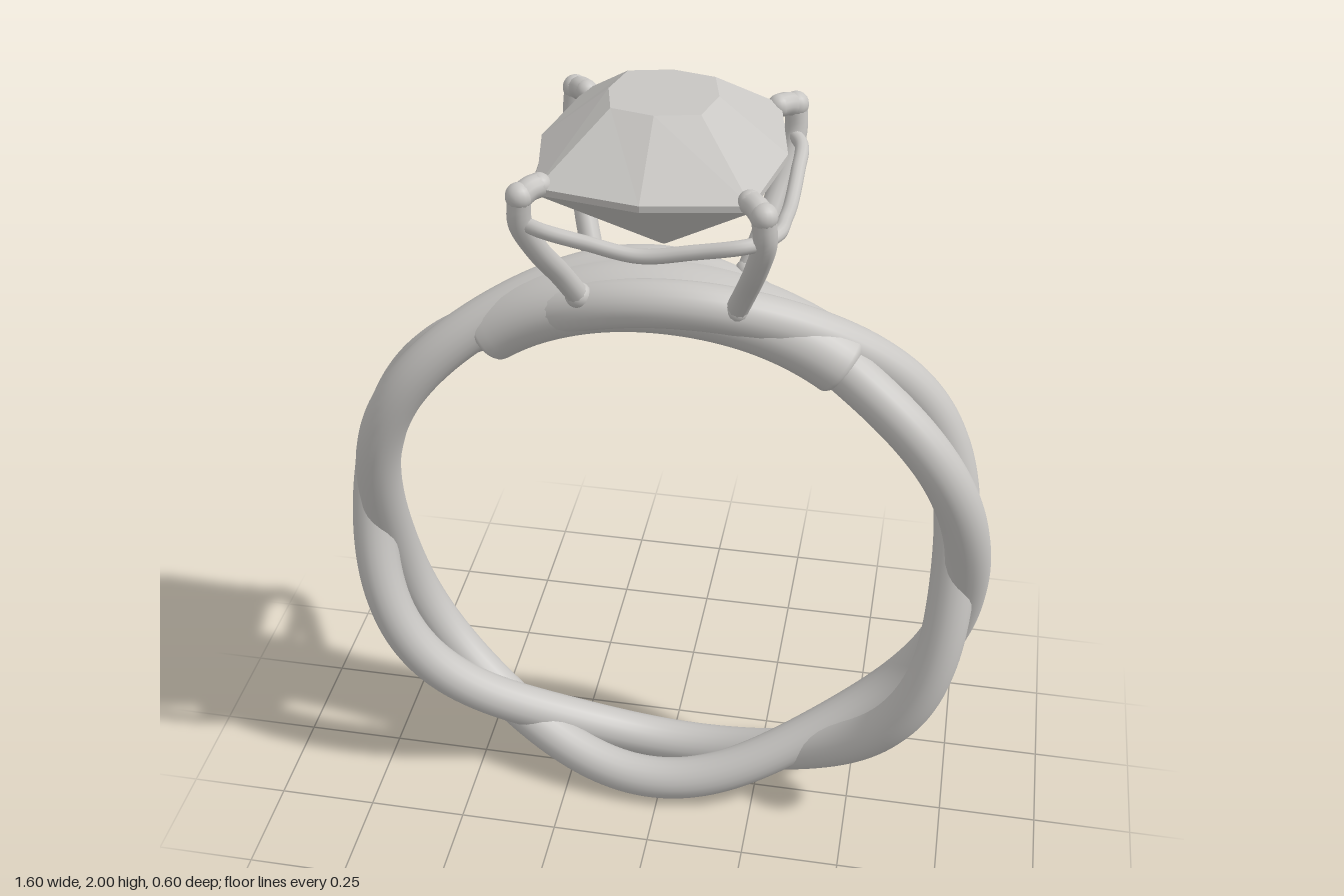
import * as THREE from 'three';
import { mergeVertices } from 'three/addons/utils/BufferGeometryUtils.js';

const V = (x, y, z) => new THREE.Vector3(x, y, z);
const CENTER_Y = 0.8;

// One strand of the twisted hoop: three full turns around the finger circle
class StrandCurve extends THREE.Curve {
  constructor(sign) {
    super();
    this.sign = sign;
  }
  getPoint(t, target = new THREE.Vector3()) {
    const a = t * Math.PI * 2;
    const top = Math.max(0, Math.sin(a)) ** 4;
    const r = 0.737 - 0.008 * Math.cos(6 * a) - 0.014 * top + this.sign * 0.016 * Math.cos(3 * a);
    return target.set(r * Math.cos(a), CENTER_Y + r * Math.sin(a), this.sign * 0.075 * Math.sin(3 * a));
  }
}

// Thick sleeve over the top of the hoop: a capsule bent along the arc
function bandGeometry() {
  const R = 0.706, half = 0.43, rad = 0.076;
  const source = new THREE.CapsuleGeometry(rad, half * 2, 8, 32, 40);
  source.deleteAttribute('uv');
  source.deleteAttribute('normal');
  const g = mergeVertices(source, 1e-5);
  const p = g.attributes.position;
  for (let i = 0; i < p.count; i++) {
    const y = p.getY(i);
    const over = Math.max(0, Math.abs(y) - half);
    const along = Math.sign(y) * (Math.min(Math.abs(y), half) + over * 0.4);
    const mid = Math.cos((along / half) * Math.PI / 2) ** 2;
    const a = Math.PI / 2 + along / R;
    const r = R + p.getX(i);
    p.setXYZ(i, r * Math.cos(a), CENTER_Y + r * Math.sin(a), p.getZ(i) * (1.14 + 0.25 * mid));
  }
  g.computeVertexNormals();
  return g;
}

// Faceted cushion stone: eight-sided sections from culet to table
function gemGeometry() {
  const section = (y, mx, mz, cx, cz) => [
    [mx, 0], [cx, cz], [0, mz], [-cx, cz], [-mx, 0], [-cx, -cz], [0, -mz], [cx, -cz],
  ].map(([x, z]) => V(x, y, z));
  const sections = [
    section(1.645, 0.008, 0.008, 0.006, 0.006),
    section(1.865, 0.267, 0.285, 0.222, 0.245),
    section(1.88, 0.267, 0.285, 0.222, 0.245),
    section(2.0, 0.118, 0.117, 0.095, 0.095),
  ];
  const pts = [];
  for (let s = 0; s < 3; s++) {
    for (let i = 0; i < 8; i++) {
      const j = (i + 1) % 8;
      const a = sections[s][i], b = sections[s][j], c = sections[s + 1][j], d = sections[s + 1][i];
      pts.push(a, d, c, a, c, b);
    }
  }
  for (let i = 1; i < 7; i++) {
    pts.push(sections[3][0], sections[3][i + 1], sections[3][i]);
    pts.push(sections[0][0], sections[0][i], sections[0][i + 1]);
  }
  const g = new THREE.BufferGeometry().setFromPoints(pts);
  g.computeVertexNormals();
  return g;
}

export function createModel() {
  const model = new THREE.Group();
  const silver = new THREE.MeshStandardMaterial({ color: 0xc8c6c3 });
  silver.name = 'paleGrey';

  const add = (parent, name, geometry) => {
    const m = new THREE.Mesh(geometry, silver);
    m.name = name;
    parent.add(m);
    return m;
  };
  const wire = (points, radius, segments = 32) =>
    new THREE.TubeGeometry(new THREE.CatmullRomCurve3(points), segments, radius, 12);
  const ball = (parent, name, at, radius) =>
    add(parent, name, new THREE.SphereGeometry(radius, 16, 12)).position.copy(at);

  // Twisted hoop
  const hoop = new THREE.Group();
  hoop.name = 'hoop';
  model.add(hoop);
  for (const sign of [1, -1]) {
    add(hoop, sign > 0 ? 'firstStrand' : 'secondStrand',
      new THREE.TubeGeometry(new StrandCurve(sign), 240, 0.055, 20, true));
  }
  add(hoop, 'topBand', bandGeometry());

  // Four claws holding the stone
  const setting = new THREE.Group();
  setting.name = 'setting';
  model.add(setting);
  for (const sx of [1, -1]) {
    for (const sz of [1, -1]) {
      const prong = new THREE.Group();
      prong.name = 'prong';
      setting.add(prong);
      const at = (x, y, z) => V(sx * x, y, sz * z);
      add(prong, 'prongStem', wire([
        at(0.178, 1.54, 0.085), at(0.205, 1.62, 0.135), at(0.235, 1.72, 0.212),
        at(0.255, 1.81, 0.262), at(0.252, 1.87, 0.27),
      ], 0.026));
      add(prong, 'prongClaw', wire([
        at(0.252, 1.868, 0.27), at(0.235, 1.88, 0.25), at(0.218, 1.882, 0.232),
      ], 0.026, 10));
      ball(prong, 'prongFoot', at(0.178, 1.54, 0.085), 0.03);
      ball(prong, 'prongShoulder', at(0.252, 1.872, 0.269), 0.029);
      ball(prong, 'prongTip', at(0.218, 1.882, 0.232), 0.026);
    }
  }

  // Dipping gallery wires between neighbouring claws
  const rail = [[-1, 0.255, 1.805], [-0.8, 0.28, 1.802], [-0.45, 0.283, 1.785], [0, 0.283, 1.765],
    [0.45, 0.283, 1.785], [0.8, 0.28, 1.802], [1, 0.255, 1.805]];
  for (const s of [1, -1]) {
    add(setting, s > 0 ? 'frontRail' : 'backRail',
      wire(rail.map(([u, out, y]) => V(u * 0.255, y, s * out)), 0.016, 48));
    add(setting, s > 0 ? 'leftRail' : 'rightRail',
      wire(rail.map(([u, out, y]) => V(s * (out - 0.005), y, u * 0.258)), 0.016, 48));
  }

  add(model, 'gemstone', gemGeometry());
  return model;
}
